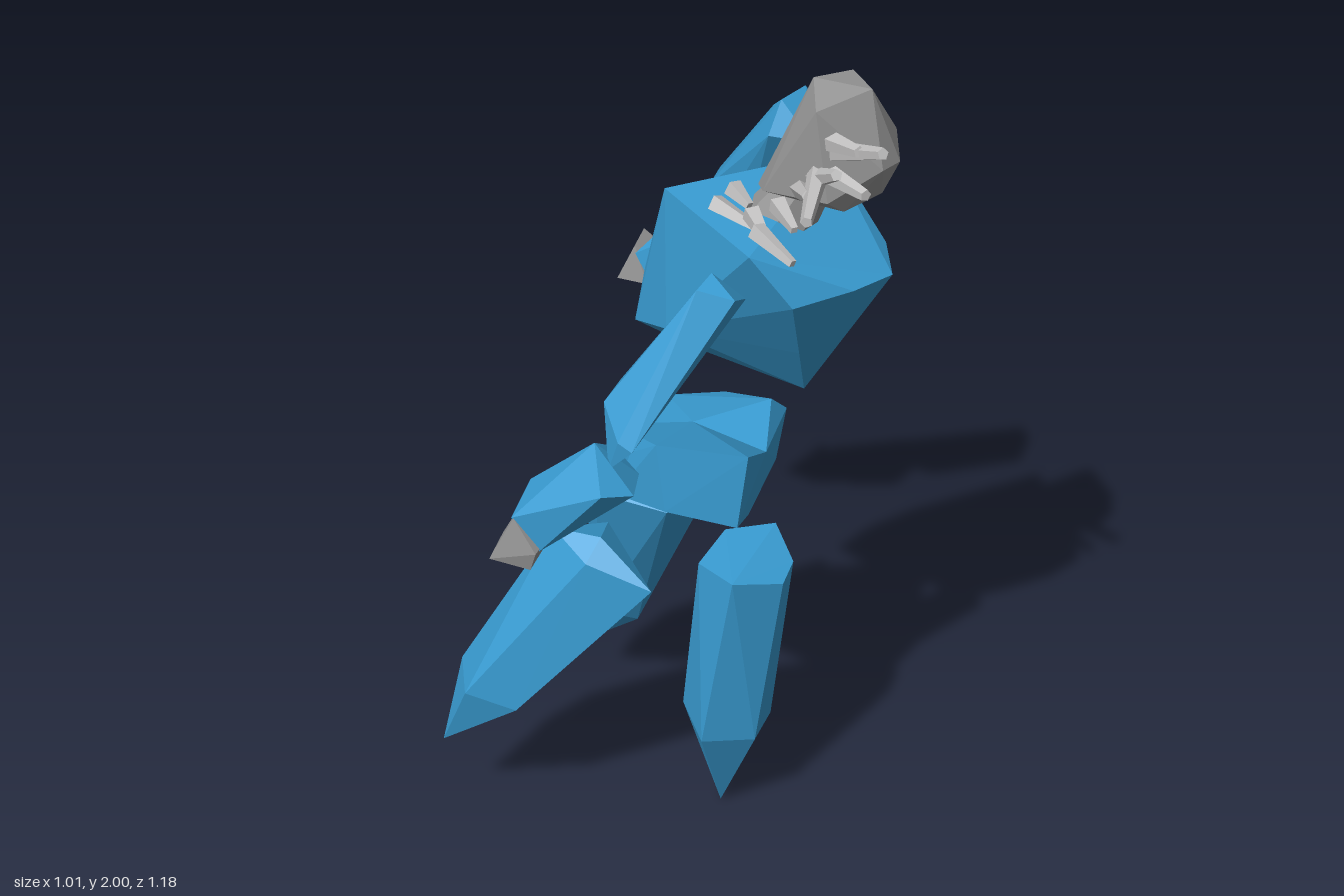
import * as THREE from 'three';
import { ConvexGeometry } from 'three/addons/geometries/ConvexGeometry.js';

const blue = new THREE.MeshStandardMaterial({ color: 0x3a9fd6, flatShading: true });
blue.name = 'blue crystal';
const grey = new THREE.MeshStandardMaterial({ color: 0x999999, flatShading: true });
grey.name = 'grey stone';
const pale = new THREE.MeshStandardMaterial({ color: 0xc4c3c3, flatShading: true });
pale.name = 'pale shard';

export function createModel() {
  const model = new THREE.Group();

  // A faceted boulder: the hull of a few corner points
  const rock = (name, material, points) => {
    const geometry = new ConvexGeometry(points.map((p) => new THREE.Vector3(...p)));
    const mesh = new THREE.Mesh(geometry, material);
    mesh.name = name;
    model.add(mesh);
  };

  // A tapered rod between two points
  const rod = (name, material, from, to, r0, r1, sides) => {
    const a = new THREE.Vector3(...from), b = new THREE.Vector3(...to);
    const dir = b.clone().sub(a);
    const mesh = new THREE.Mesh(new THREE.CylinderGeometry(r1, r0, dir.length(), sides), material);
    mesh.position.copy(a).add(b).multiplyScalar(0.5);
    mesh.quaternion.setFromUnitVectors(new THREE.Vector3(0, 1, 0), dir.normalize());
    mesh.name = name;
    model.add(mesh);
  };

  // Head and neck
  rock('head', grey, [
    [0.29, 2.0, 0.02], [0.41, 1.985, 0], [0.33, 1.975, 0.12], [0.34, 1.975, -0.09],
    [0.47, 1.82, -0.02], [0.44, 1.86, -0.085], [0.455, 1.83, 0.05], [0.36, 1.77, 0.12],
    [0.39, 1.77, -0.088], [0.205, 1.75, 0.08], [0.19, 1.75, -0.055], [0.17, 1.725, 0.01],
    [0.38, 1.73, 0.07], [0.36, 1.73, -0.06], [0.44, 1.75, 0], [0.27, 1.72, 0.01],
  ]);
  rod('neck', grey, [0.22, 1.65, 0.01], [0.285, 1.76, 0.01], 0.077, 0.055, 7);

  // Face spikes
  const spikes = [
    [[0.35, 1.87, 0.08], [0.5, 1.955, 0.205]],
    [[0.33, 1.83, 0.09], [0.37, 1.815, 0.285]],
    [[0.35, 1.9, 0.09], [0.44, 1.93, 0.17]],
    [[0.34, 1.83, 0.09], [0.46, 1.84, 0.18]],
    [[0.31, 1.8, 0.08], [0.4, 1.88, 0.19]],
    [[0.28, 1.77, 0.07], [0.34, 1.82, 0.19]],
  ];
  for (const [a, b] of spikes) rod('faceSpike', pale, a, b, 0.024, 0.013, 5);

  // Loose shards under the chin
  const shards = [
    [[0.13, 1.735, 0.06], [0.18, 1.715, 0.09]],
    [[0.11, 1.72, 0.11], [0.22, 1.7, 0.15]],
    [[0.2, 1.73, 0.14], [0.26, 1.7, 0.2]],
    [[0.23, 1.72, 0.19], [0.33, 1.69, 0.245]],
    [[0.25, 1.75, 0.12], [0.31, 1.73, 0.18]],
  ];
  for (const [a, b] of shards) rod('chinShard', pale, a, b, 0.022, 0.01, 4);

  // Torso: twisted block with a pointed belly and a narrow back
  rock('torso', blue, [
    [0.243, 1.68, -0.255], [0.235, 1.685, 0.245], [-0.03, 1.69, 0.04],
    [0.32, 1.56, -0.205], [0.32, 1.56, 0.21], [0.42, 1.57, -0.11], [0.42, 1.57, 0.11],
    [0.47, 1.56, 0], [0.28, 1.232, 0], [-0.1, 1.45, -0.02], [-0.125, 1.31, -0.02],
    [0.04, 1.3, 0.03], [0.22, 1.44, -0.19], [-0.01, 1.37, -0.125], [-0.01, 1.37, 0.085],
    [0.18, 1.475, 0.15], [0.3, 1.385, 0.1],
  ]);

  // Pelvis: two blocks meeting at a shared, sagging middle section
  const middle = [
    [-0.205, 0.88, 0], [0.155, 0.865, 0], [0.195, 1.045, 0], [0.02, 1.085, 0], [-0.17, 1.035, 0],
  ];
  rock('pelvisLeft', blue, [
    ...middle, [-0.09, 0.99, 0.2], [0.05, 1.01, 0.252], [0.2, 0.97, 0.2],
    [-0.05, 1.11, 0.2], [0.03, 1.18, 0.252], [0.22, 1.155, 0.19],
  ]);
  rock('pelvisRight', blue, [
    ...middle, [-0.12, 0.9, -0.16], [0.02, 0.89, -0.21], [0.15, 0.89, -0.2],
    [-0.1, 1.04, -0.15], [0.02, 1.04, -0.21], [0.17, 1.03, -0.21], [0.15, 1.08, -0.16],
  ]);

  // Three pointed legs
  rock('middleLeg', blue, [
    [0.055, 0.74, 0.055], [0.17, 0.77, 0.145], [0.26, 0.735, 0.055], [0.255, 0.74, -0.03],
    [0.18, 0.77, -0.12], [0.07, 0.75, -0.08],
    [0, 0.29, 0.01], [0.09, 0.28, 0.125], [0.2, 0.27, 0.06], [0.2, 0.27, -0.05],
    [0.09, 0.28, -0.09], [0.09, 0, -0.01],
  ]);
  rock('leftLeg', blue, [
    [-0.23, 0.88, 0.225], [-0.11, 0.89, 0.235], [0.02, 0.79, 0.26], [-0.15, 0.83, 0.095],
    [-0.12, 0.77, 0.1], [-0.127, 0.845, 0.285], [-0.03, 0.75, 0.19],
    [-0.475, 0.445, 0.22], [-0.42, 0.43, 0.328], [-0.42, 0.5, 0.14], [-0.26, 0.415, 0.18],
    [-0.3, 0.4, 0.31], [-0.503, 0.24, 0.285],
  ]);
  rock('rightLeg', blue, [
    [-0.1, 0.92, -0.28], [-0.16, 0.91, -0.2], [-0.25, 0.88, -0.15], [-0.23, 0.81, -0.03],
    [0, 0.8, -0.22], [0, 0.79, -0.1], [-0.06, 0.79, -0.04],
    [-0.39, 0.36, -0.26], [-0.35, 0.38, -0.36], [-0.24, 0.36, -0.355],
    [-0.22, 0.295, -0.25], [-0.3, 0.34, -0.19], [-0.37, 0.15, -0.325],
  ]);

  // Left arm
  rock('leftUpperArm', blue, [
    [0.2, 1.71, 0.37], [0.26, 1.64, 0.33], [0.265, 1.68, 0.41], [0.175, 1.63, 0.295],
    [0.19, 1.7, 0.43], [0.01, 1.43, 0.4], [0.01, 1.43, 0.49], [0.06, 1.37, 0.54],
    [0.1, 1.415, 0.345], [0.095, 1.36, 0.55], [0, 1.29, 0.43], [0.03, 1.285, 0.52],
  ]);
  rock('leftForearm', blue, [
    [0, 1.345, 0.52], [0.01, 1.29, 0.44], [0.09, 1.24, 0.53], [0.04, 1.26, 0.588],
    [0.07, 1.24, 0.45], [-0.05, 1.13, 0.445],
    [-0.165, 1.19, 0.48], [-0.127, 1.15, 0.435], [-0.17, 1.15, 0.575],
    [-0.1, 1.08, 0.45], [-0.11, 1.075, 0.57],
  ]);
  rock('leftHand', grey, [
    [-0.165, 1.165, 0.47], [-0.165, 1.15, 0.575], [-0.105, 1.09, 0.47], [-0.11, 1.08, 0.59],
    [-0.225, 1.05, 0.5], [-0.225, 1.03, 0.575], [-0.13, 1.035, 0.49], [-0.13, 1.025, 0.575],
  ]);

  // Right arm
  rock('rightUpperArm', blue, [
    [0.1, 1.745, -0.335], [0.13, 1.75, -0.41], [0.168, 1.7, -0.41], [0.18, 1.66, -0.32],
    [0.09, 1.68, -0.28], [0.07, 1.71, -0.37], [-0.1, 1.45, -0.42], [-0.1, 1.46, -0.49],
    [-0.025, 1.415, -0.535], [0, 1.38, -0.4], [0.02, 1.4, -0.51],
    [-0.08, 1.37, -0.42], [-0.06, 1.36, -0.48],
  ]);
  rock('rightForearm', blue, [
    [-0.12, 1.41, -0.52], [-0.1, 1.35, -0.415], [-0.085, 1.35, -0.57], [-0.03, 1.32, -0.53],
    [-0.07, 1.26, -0.41], [-0.305, 1.2, -0.47], [-0.285, 1.2, -0.575], [-0.21, 1.19, -0.592],
    [-0.255, 1.14, -0.445], [-0.22, 1.1, -0.55],
  ]);
  rock('rightHand', grey, [
    [-0.31, 1.215, -0.48], [-0.32, 1.215, -0.565], [-0.28, 1.17, -0.585], [-0.265, 1.14, -0.44],
    [-0.36, 1.11, -0.49], [-0.335, 1.11, -0.565], [-0.29, 1.08, -0.545], [-0.225, 1.14, -0.57],
  ]);

  return model;
}
